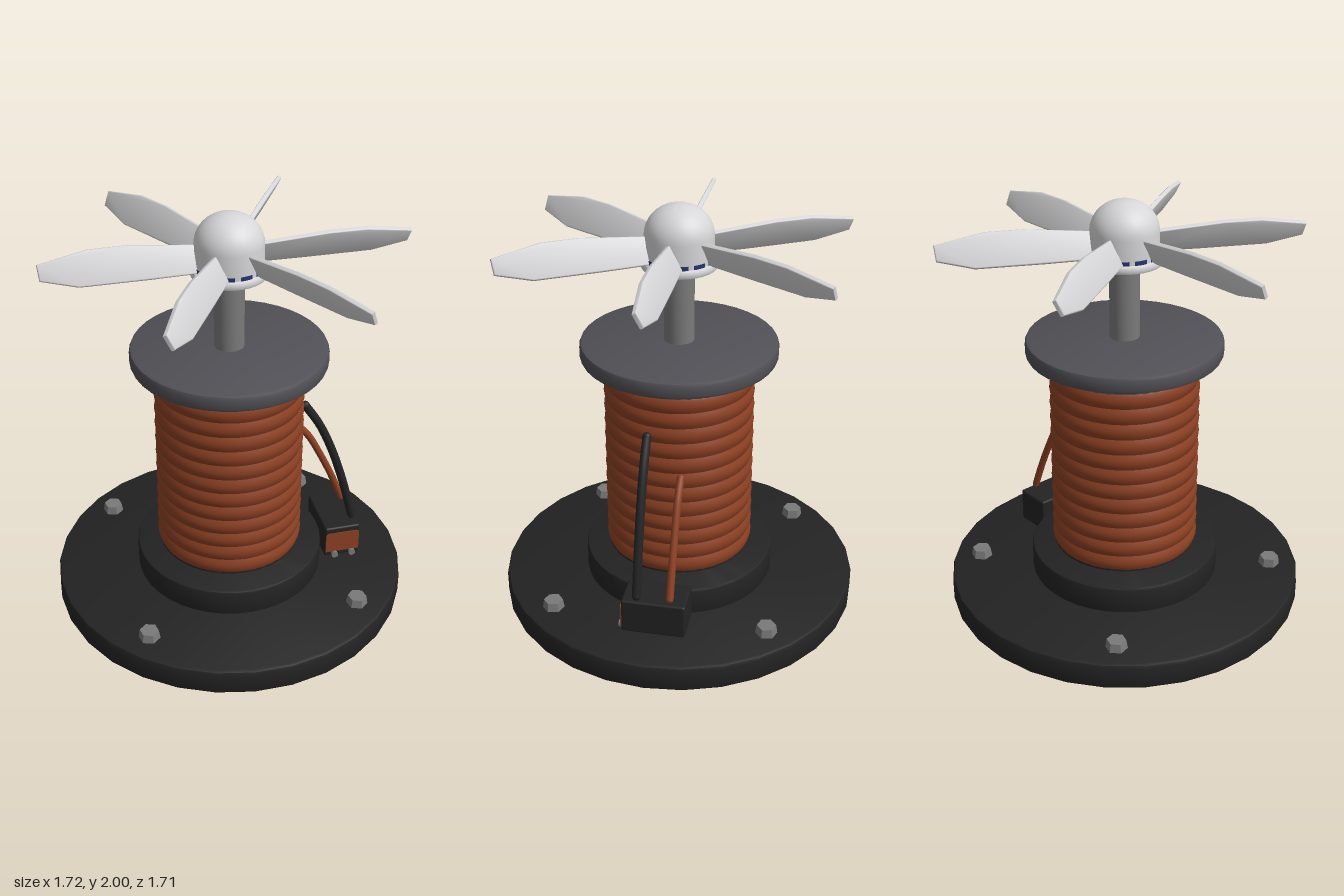
import * as THREE from 'three';
import { toCreasedNormals } from 'three/addons/utils/BufferGeometryUtils.js';
import { RoundedBoxGeometry } from 'three/addons/geometries/RoundedBoxGeometry.js';

function material(name, color) {
  const m = new THREE.MeshStandardMaterial({ color });
  m.name = name;
  return m;
}

export function createModel() {
  const model = new THREE.Group();
  model.name = 'electromagnetRotor';

  const black = material('black', 0x232323);
  const copper = material('copper', 0x8c4023);
  const slate = material('slate grey', 0x505056);
  const steel = material('steel grey', 0x7a7a7a);
  const white = material('off white', 0xd6d6d8);
  const navy = material('navy', 0x24346e);

  function add(name, geometry, mat, x = 0, y = 0, z = 0, parent = model) {
    const mesh = new THREE.Mesh(geometry, mat);
    mesh.name = name;
    mesh.position.set(x, y, z);
    parent.add(mesh);
    return mesh;
  }

  // Turned part from [radius, height] points listed upwards
  function turned(name, points, mat, segments = 40) {
    const profile = points.map(([r, y]) => new THREE.Vector2(r, y));
    const g = new THREE.LatheGeometry(profile, segments);
    g.rotateY(Math.PI / 2);
    return add(name, toCreasedNormals(g, 0.55), mat);
  }

  // Disc with softened rims
  function disc(name, r, y0, y1, b, mat, segments) {
    return turned(name, [[0, y0], [r - b, y0], [r - b * 0.3, y0 + b * 0.3], [r, y0 + b],
      [r, y1 - b], [r - b * 0.3, y1 - b * 0.3], [r - b, y1], [0, y1]], mat, segments);
  }

  // Base and collar
  disc('basePlate', 0.86, 0, 0.13, 0.018, black, 30);
  disc('baseCollar', 0.457, 0.12, 0.26, 0.012, black, 40);

  // Spool core, flange and shaft
  turned('lowerCore', [[0.3, 0.255], [0.345, 0.285], [0.345, 0.31]], black);
  turned('upperCore', [[0.345, 1.2], [0.345, 1.222], [0.3, 1.262], [0.3, 1.28]], slate);
  disc('topFlange', 0.46, 1.27, 1.352, 0.018, slate, 40);
  turned('shaft', [[0.07, 1.34], [0.07, 1.73]], steel, 24);

  // Ridged copper winding
  const ridges = [[0.31, 0.272], [0.338, 0.282]];
  const turns = 12, steps = 6;
  for (let i = 0; i <= turns * steps; i++) {
    const t = i / (turns * steps);
    ridges.push([0.343 + 0.011 * Math.abs(Math.sin(t * turns * Math.PI)), 0.29 + 0.93 * t]);
  }
  ridges.push([0.325, 1.238]);
  turned('copperWinding', ridges, copper, 48);

  // Base bolts
  for (const sx of [-1, 1]) for (const sz of [-1, 1]) {
    const bolt = add('baseBolt', toCreasedNormals(new THREE.CylinderGeometry(0.045, 0.052, 0.045, 6), 0.3),
      steel, sx * 0.51, 0.15, sz * 0.51);
    bolt.rotation.y = 0.2;
  }

  // Connector box with painted front and terminal screws
  add('connectorBox', new RoundedBoxGeometry(0.18, 0.17, 0.3, 2, 0.01), black, 0.55, 0.225, 0);
  const label = new THREE.Shape();
  label.moveTo(-0.086, -0.058);
  label.lineTo(0.086, -0.058);
  label.lineTo(0.086, 0.04);
  label.quadraticCurveTo(0.084, 0.055, 0.068, 0.055);
  label.lineTo(-0.068, 0.055);
  label.quadraticCurveTo(-0.084, 0.055, -0.086, 0.04);
  add('connectorFront', new THREE.ExtrudeGeometry(label, { depth: 0.006, bevelEnabled: false }),
    copper, 0.55, 0.225, 0.148);
  for (const x of [0.51, 0.6]) {
    const screw = add('terminalScrew', new THREE.CylinderGeometry(0.017, 0.017, 0.025, 12), steel, x, 0.153, 0.155);
    screw.rotation.x = Math.PI / 2;
  }

  // Lead wires from the winding to the connector
  function wire(name, points, z, r, mat) {
    const curve = new THREE.CatmullRomCurve3(points.map(([x, y]) => new THREE.Vector3(x, y, z)));
    add(name, new THREE.TubeGeometry(curve, 24, r, 10), mat);
    for (const t of [0, 1]) {
      const p = curve.getPoint(t);
      add(name + 'End', new THREE.SphereGeometry(r, 10, 8), mat, p.x, p.y, p.z);
    }
  }
  wire('blackWire', [[0.35, 1.02], [0.425, 0.9], [0.495, 0.74], [0.56, 0.54], [0.615, 0.33]], 0.08, 0.021, black);
  wire('copperWire', [[0.35, 0.82], [0.42, 0.74], [0.48, 0.63], [0.55, 0.48], [0.61, 0.33]], -0.075, 0.018, copper);

  // Hub plate and domed cap
  disc('hubPlate', 0.176, 1.71, 1.748, 0.012, white, 30);
  const cap = [[0.157, 1.735], [0.157, 1.86]];
  for (let i = 1; i <= 10; i++) {
    const a = i / 10 * Math.PI / 2;
    cap.push([0.157 * Math.cos(a), 1.86 + 0.14 * Math.sin(a)]);
  }
  turned('hubDome', cap, white, 32);

  // Navy dashes around the hub
  for (let i = 0; i < 12; i++) {
    const g = new THREE.CylinderGeometry(0.16, 0.16, 0.022, 6, 1, true, (i + 0.14) * Math.PI / 6, 0.37);
    add('hubDash', g, navy, 0, 1.757, 0);
  }

  // Six pitched blades
  const outline = new THREE.Shape([[0.1, -0.07], [0.36, -0.074], [0.67, -0.074], [0.83, -0.032],
    [0.835, 0.03], [0.62, 0.072], [0.45, 0.073], [0.1, 0.04]].map(([x, y]) => new THREE.Vector2(x, y)));
  const bladeGeometry = new THREE.ExtrudeGeometry(outline, {
    depth: 0.01, bevelEnabled: true, bevelThickness: 0.006, bevelSize: 0.006, bevelSegments: 2,
  });
  bladeGeometry.translate(0, 0, -0.005);
  const blade = toCreasedNormals(bladeGeometry, 0.9);
  for (let i = 0; i < 6; i++) {
    const arm = new THREE.Group();
    arm.name = 'bladeArm';
    arm.position.y = 1.813;
    arm.rotation.y = i * Math.PI / 3;
    model.add(arm);
    add('blade', blade, white, 0, 0, 0, arm).rotation.x = 0.47;
  }

  return model;
}
